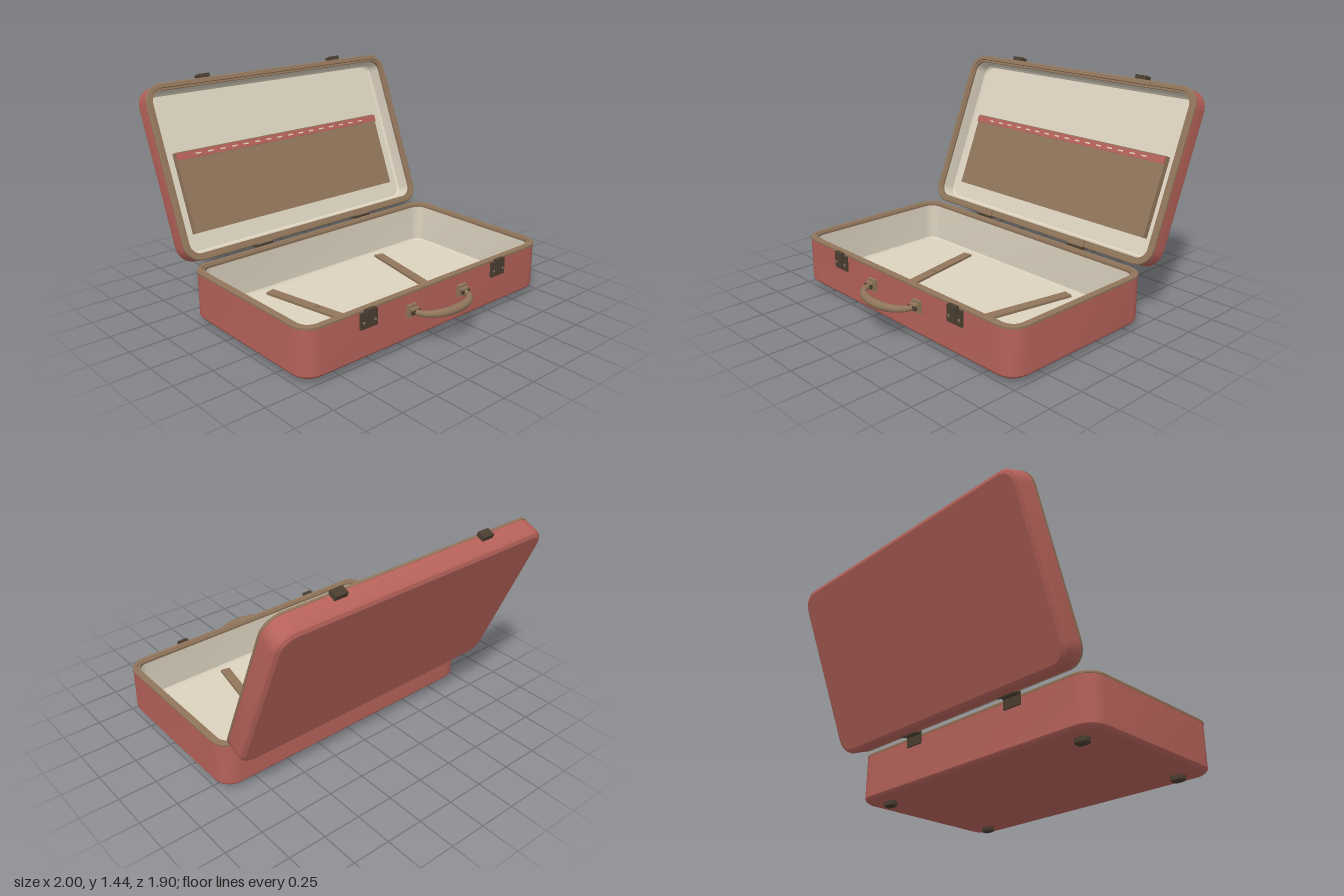
import * as THREE from 'three';
import { toCreasedNormals } from 'three/addons/utils/BufferGeometryUtils.js';

const material = (name, color) => {
  const m = new THREE.MeshStandardMaterial({ color });
  m.name = name;
  return m;
};

// Points of a rounded rectangle in the xz plane, shrunk by an inset
function roundedLoop(halfX, halfZ, radius, inset) {
  const r = Math.max(radius - inset, 0.02);
  const points = [];
  const steps = 5;
  for (let q = 0; q < 4; q++) {
    const sx = q === 0 || q === 3 ? 1 : -1;
    const sz = q < 2 ? 1 : -1;
    for (let i = 0; i <= steps; i++) {
      const a = (q + i / steps) * Math.PI / 2;
      points.push([sx * (halfX - inset - r) + r * Math.cos(a), sz * (halfZ - inset - r) + r * Math.sin(a)]);
    }
  }
  return points;
}

// Skin through rounded rectangles given as [inset, y]; an inset of null is the centre point
function loft(halfX, halfZ, radius, profile) {
  const rings = profile.map(([inset, y]) =>
    roundedLoop(halfX, halfZ, radius, inset ?? 0).map(([x, z]) => (inset === null ? [0, y, 0] : [x, y, z])));
  const pos = [];
  for (let k = 0; k + 1 < rings.length; k++) {
    const a = rings[k], b = rings[k + 1], n = a.length;
    for (let j = 0; j < n; j++) {
      const i = (j + 1) % n;
      if (profile[k][0] !== null) pos.push(...a[j], ...b[j], ...a[i]);
      if (profile[k + 1][0] !== null) pos.push(...b[j], ...b[i], ...a[i]);
    }
  }
  const g = new THREE.BufferGeometry();
  g.setAttribute('position', new THREE.Float32BufferAttribute(pos, 3));
  return toCreasedNormals(g, 0.5);
}

export function createModel() {
  const red = material('red shell', 0xb6625a);
  const cream = material('cream lining', 0xdcd2bf);
  const brown = material('brown leather', 0x90755b);
  const dark = material('dark metal', 0x4a3e30);

  const model = new THREE.Group();
  model.name = 'suitcase';

  const add = (parent, name, geometry, mat, x = 0, y = 0, z = 0) => {
    const m = new THREE.Mesh(geometry, mat);
    m.name = name;
    m.position.set(x, y, z);
    parent.add(m);
    return m;
  };
  const box = (parent, name, mat, w, h, d, x, y, z) =>
    add(parent, name, new THREE.BoxGeometry(w, h, d), mat, x, y, z);

  // Open tray with its mouth at y = 0: outer shell, leather rim and lining
  const tray = (name, depth, bevel, halfZ, floor) => {
    const g = new THREE.Group();
    g.name = name;
    const skin = (part, mat, profile) => add(g, part, loft(1, halfZ, 0.12, profile), mat);
    skin(name + 'Shell', red, [[null, -depth], [bevel + 0.003, -depth], [0.003 + bevel * 0.3, -depth + bevel * 0.3 + 0.004],
      [0.003, -depth + bevel], [0.003, -0.015]]);
    skin(name + 'Rim', brown, [[0.003, -0.018], [0, -0.018], [0, -0.006], [0.006, 0], [0.03, 0],
      [0.033, -0.008], [0.046, -0.008], [0.046, -0.028]]);
    skin(name + 'Lining', cream, [[0.046, -0.025], [0.05, floor + 0.015], [0.062, floor], [null, floor]]);
    return g;
  };

  // Base
  const base = tray('base', 0.32, 0.022, 0.573, -0.29);
  base.position.set(0, 0.355, 0.193);
  model.add(base);

  // Feet
  for (const x of [-0.815, 0.815]) for (const z of [-0.245, 0.635]) {
    add(model, 'foot', loft(0.044, 0.031, 0.02, [[null, 0], [0.008, 0], [0, 0.008], [0, 0.04]]), dark, x, 0, z);
  }

  // Lid, leaning back from the hinge line
  const lid = new THREE.Group();
  lid.name = 'lid';
  lid.position.set(0, 0.365, -0.39);
  lid.rotation.x = THREE.MathUtils.degToRad(68);
  model.add(lid);
  const lidTray = tray('lid', 0.152, 0.03, 0.57, -0.13);
  lidTray.position.z = -0.57;
  lid.add(lidTray);

  // Lid pocket with a stitched band
  box(lid, 'pocket', brown, 1.7, 0.045, 0.53, 0, -0.11, -0.437);
  box(lid, 'pocketBand', red, 1.7, 0.012, 0.044, 0, -0.082, -0.672);
  for (let i = 0; i < 16; i++) {
    box(lid, 'stitch', cream, 0.04, 0.004, 0.009, -0.695 + i * 0.0927, -0.0755, -0.672);
  }

  for (const s of [-1, 1]) {
    // Straps on the base floor
    const strap = box(model, 'strap', brown, 0.066, 0.016, 0.937, s * 0.395, 0.073, 0.195);
    strap.rotation.y = -s * 0.193;

    // Front latch with rivets
    const latch = new THREE.Group();
    latch.name = 'latch';
    latch.position.set(s * 0.55, 0, 0.766);
    model.add(latch);
    box(latch, 'latchPlate', dark, 0.126, 0.1, 0.014, 0, 0.285, 0.005);
    box(latch, 'latchHasp', dark, 0.072, 0.058, 0.026, 0, 0.326, 0.018);
    box(latch, 'latchTongue', dark, 0.05, 0.045, 0.012, 0, 0.275, 0.016);
    for (const r of [-1, 1]) {
      const rivet = add(latch, 'rivet', new THREE.CylinderGeometry(0.008, 0.008, 0.006, 10), brown, r * 0.043, 0.275, 0.013);
      rivet.rotation.x = Math.PI / 2;
    }

    // Catch on the free edge of the lid
    box(lid, 'lidCatch', dark, 0.084, 0.055, 0.03, s * 0.55, -0.034, -1.152);

    // Hinge: back plate, knuckle, lid leaf and leather tab
    box(model, 'hingePlate', dark, 0.13, 0.07, 0.01, s * 0.43, 0.322, -0.384);
    const knuckle = add(model, 'hingeKnuckle', new THREE.CylinderGeometry(0.012, 0.012, 0.13, 12), dark, s * 0.43, 0.36, -0.39);
    knuckle.rotation.z = Math.PI / 2;
    box(lid, 'hingeLeaf', dark, 0.13, 0.05, 0.008, s * 0.43, -0.026, 0.003);
    box(lid, 'hingeTab', brown, 0.126, 0.012, 0.045, s * 0.43, 0.003, -0.024);

    // Handle mounts
    box(model, 'handleMount', brown, 0.07, 0.076, 0.02, s * 0.215, 0.233, 0.774);
    box(model, 'handleLoop', brown, 0.058, 0.044, 0.035, s * 0.215, 0.233, 0.79);
    box(model, 'handlePin', dark, 0.064, 0.024, 0.016, s * 0.215, 0.233, 0.806);
  }

  // Strap button
  add(model, 'strapButton', new THREE.CylinderGeometry(0.018, 0.018, 0.01, 14), brown, -0.405, 0.084, 0.125);

  // Handle: an arc that thickens towards the middle
  const arc = [];
  for (let i = 0; i <= 16; i++) {
    const a = Math.PI * i / 16;
    arc.push(new THREE.Vector3(0.212 * Math.cos(a), 0.231, 0.8 + 0.127 * Math.sin(a)));
  }
  const curve = new THREE.CatmullRomCurve3(arc);
  const segments = 32, sides = 10;
  const grip = new THREE.TubeGeometry(curve, segments, 0.028, sides);
  const p = grip.attributes.position;
  const v = new THREE.Vector3();
  for (let i = 0; i < p.count; i++) {
    const t = Math.floor(i / (sides + 1)) / segments;
    const c = curve.getPointAt(t);
    v.fromBufferAttribute(p, i).sub(c).multiplyScalar(0.58 + 0.42 * Math.sin(Math.PI * t)).add(c);
    p.setXYZ(i, v.x, v.y, v.z);
  }
  add(model, 'handle', grip, brown);

  return model;
}
